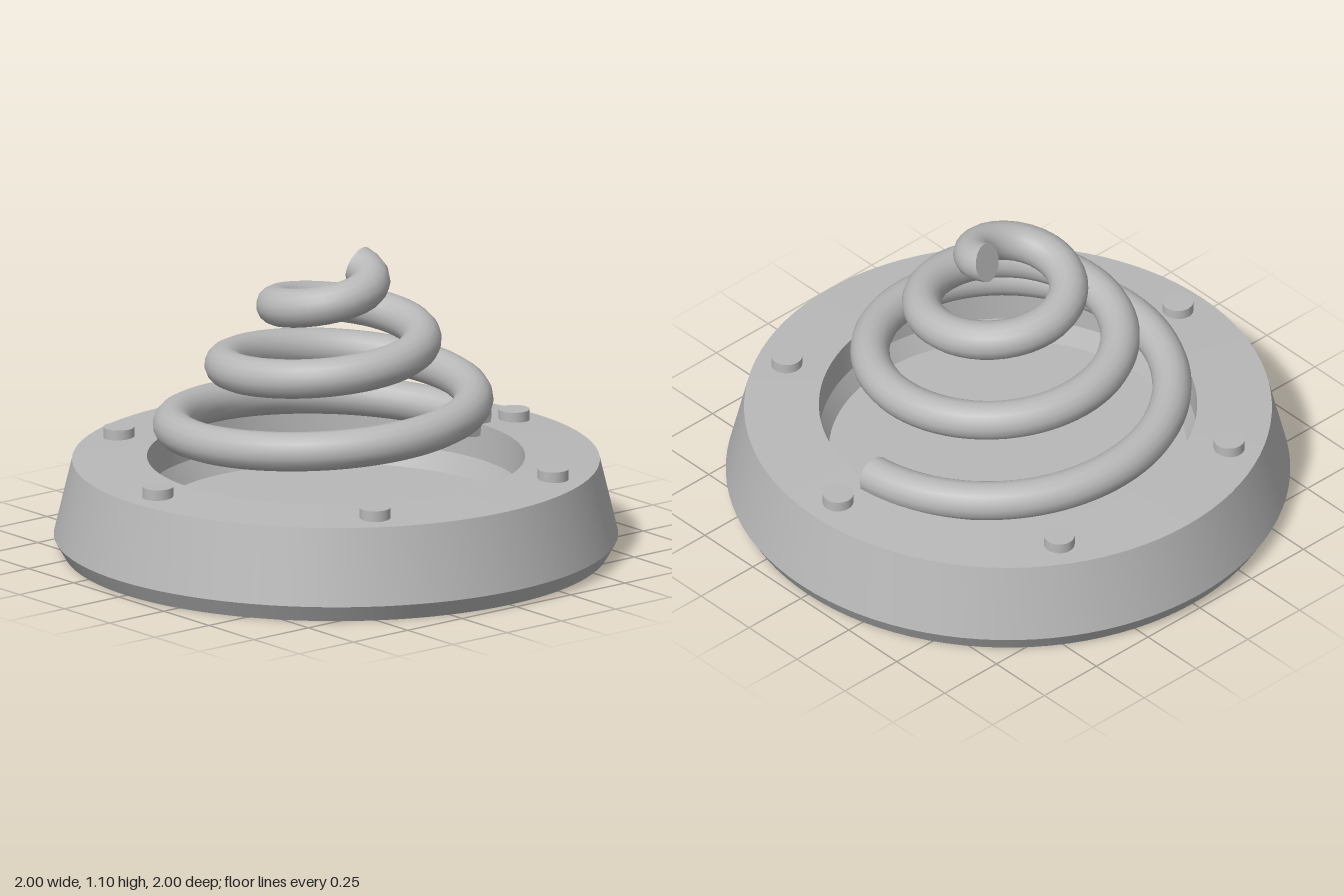
import * as THREE from 'three';
import { toCreasedNormals } from 'three/addons/utils/BufferGeometryUtils.js';

// Conical spiral that climbs and tightens over three turns
class SpiralCurve extends THREE.Curve {
  getPoint(t, target = new THREE.Vector3()) {
    const angle = t * Math.PI * 6;
    const radius = 0.65 - 0.55 * t;
    return target.set(radius * Math.cos(angle), 0.37 + 0.66 * t, -radius * Math.sin(angle));
  }
}

export function createModel() {
  const model = new THREE.Group();
  const metal = new THREE.MeshStandardMaterial({ color: 0xb8b8b8 });
  metal.name = 'grey metal';

  const add = (name, geometry, parent = model) => {
    const mesh = new THREE.Mesh(geometry, metal);
    mesh.name = name;
    parent.add(mesh);
    return mesh;
  };

  // Tapered round base with a chamfered foot and a recessed well
  const profile = [
    [0, 0], [0.965, 0], [1, 0.06], [0.935, 0.333],
    [0.67, 0.345], [0.668, 0.215], [0.635, 0.145], [0, 0.145],
  ].map(([r, y]) => new THREE.Vector2(r, y));
  add('base', toCreasedNormals(new THREE.LatheGeometry(profile, 96), 0.4));

  // Ring of six bolt heads
  const bolts = new THREE.Group();
  bolts.name = 'bolts';
  model.add(bolts);
  for (let i = 0; i < 6; i++) {
    const a = (i * Math.PI) / 3;
    add('bolt', new THREE.CylinderGeometry(0.055, 0.055, 0.06, 24), bolts)
      .position.set(0.82 * Math.cos(a), 0.345, 0.82 * Math.sin(a));
  }

  // Spiral spring with flat end caps
  const spring = new THREE.Group();
  spring.name = 'spring';
  model.add(spring);
  const curve = new SpiralCurve();
  curve.arcLengthDivisions = 600;
  const tubeRadius = 0.07;
  const sides = 16;
  const segments = 180;
  const tube = new THREE.TubeGeometry(curve, segments, tubeRadius, sides, false);
  add('coil', tube, spring);

  const addCap = (name, index, sign) => {
    const basis = new THREE.Matrix4().makeBasis(
      tube.normals[index],
      tube.binormals[index].clone().multiplyScalar(sign),
      tube.tangents[index].clone().multiplyScalar(sign),
    );
    const cap = add(name, new THREE.CircleGeometry(tubeRadius, sides), spring);
    cap.quaternion.setFromRotationMatrix(basis);
    cap.position.copy(curve.getPointAt(index / segments));
  };
  addCap('lowerEnd', 0, -1);
  addCap('upperEnd', segments, 1);

  return model;
}
